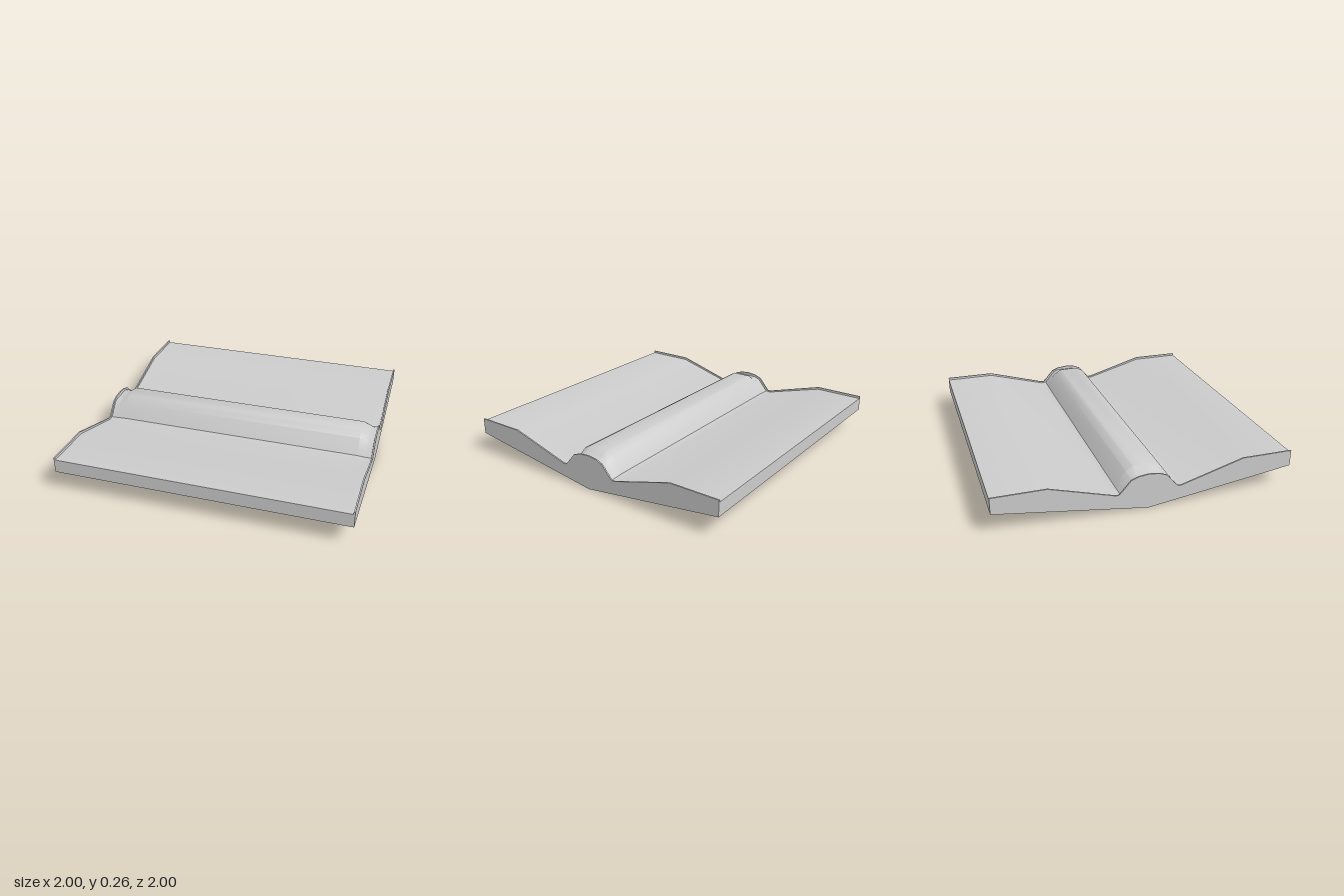
import * as THREE from 'three';
import { toCreasedNormals } from 'three/addons/utils/BufferGeometryUtils.js';

// Half profiles of the top surface as [z, y], from the outer edge to the centre
const RIM = [[1, 0.25], [0.65, 0.25], [0.22, 0.125], [0.2, 0.125], [0.18, 0.145], [0.12, 0.215], [0.07, 0.235], [0, 0.243]];
const END = [[1, 0.235], [0.65, 0.235], [0.22, 0.115], [0.185, 0.118], [0.165, 0.14], [0.11, 0.205], [0.07, 0.22], [0, 0.22]];
const MID = [[1, 0.235], [0.65, 0.235], [0.23, 0.118], [0.19, 0.125], [0.18, 0.14], [0.12, 0.225], [0.07, 0.255], [0, 0.256]];

const mirror = (half) => [...half, ...half.slice(0, -1).reverse().map(([z, y]) => [-z, y])];

// Lofts top profiles along x over the shallow V underside and closes both ends
function loft(stations) {
  const pos = [], idx = [];
  const n = stations[0][1].length * 2 - 1, ring = n * 2;
  for (const [x, half] of stations) {
    const top = mirror(half);
    for (const [z, y] of top) pos.push(x, y, z);
    for (const [z] of top.reverse()) pos.push(x, 0.14 * Math.abs(z), z);
  }
  const quad = (a, b, c, d) => idx.push(a, b, c, a, c, d);
  for (let i = 0; i < stations.length - 1; i++) {
    for (let j = 0; j < ring; j++) {
      const k = (j + 1) % ring, a = i * ring, b = a + ring;
      quad(a + j, b + j, b + k, a + k);
    }
  }
  const last = (stations.length - 1) * ring;
  for (let j = 0; j < n - 1; j++) {
    const bj = ring - 1 - j, bk = bj - 1;
    quad(last + bj, last + bk, last + j + 1, last + j);
    quad(j, j + 1, bk, bj);
  }
  const geo = new THREE.BufferGeometry();
  geo.setAttribute('position', new THREE.Float32BufferAttribute(pos, 3));
  geo.setIndex(idx);
  return toCreasedNormals(geo, 0.6);
}

export function createModel() {
  const group = new THREE.Group();
  const material = new THREE.MeshStandardMaterial({ color: 0xcccccc });

  // Slab with the central ridge and a thin raised lip at each end
  const slab = new THREE.Mesh(loft([
    [-1, RIM], [-0.99, RIM], [-0.988, END], [-0.945, END], [-0.89, MID],
    [0.89, MID], [0.945, END], [0.988, END], [0.99, RIM], [1, RIM],
  ]), material);
  slab.name = 'ridgedSlab';
  group.add(slab);
  return group;
}
